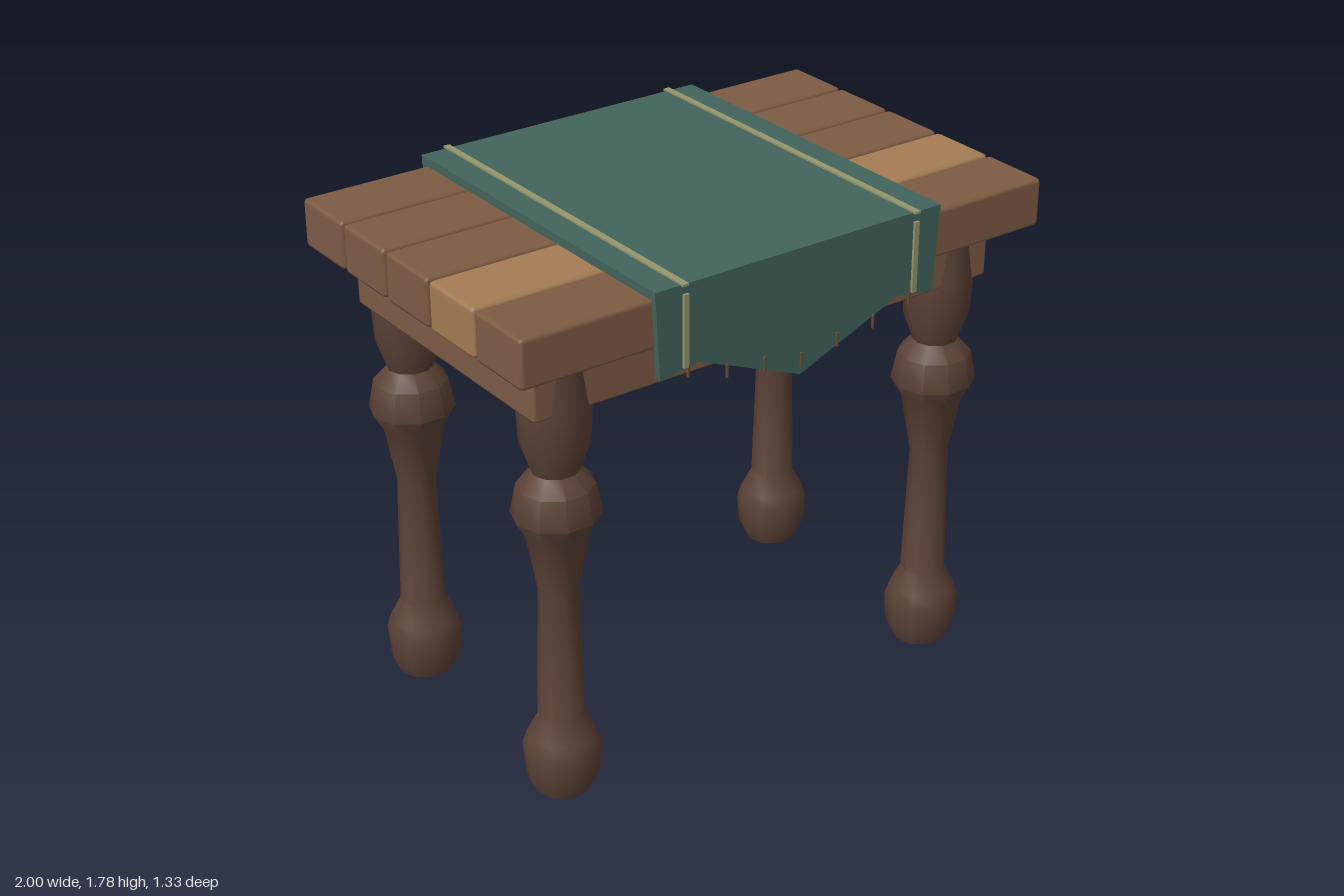
import * as THREE from 'three';
import { RoundedBoxGeometry } from 'three/addons/geometries/RoundedBoxGeometry.js';
import { toCreasedNormals } from 'three/addons/utils/BufferGeometryUtils.js';

const material = (name, color) => new THREE.MeshStandardMaterial({ name, color });

export function createModel() {
  const wood = material('brown wood', 0x7d5c45);
  const paleWood = material('pale wood', 0xa47d54);
  const darkWood = material('dark leg wood', 0x5c4237);
  const cloth = material('green cloth', 0x43655b);
  const trim = material('tan trim', 0x95956e);
  const thread = material('brown tassel', 0x694a35);

  const table = new THREE.Group();
  table.name = 'table';

  function add(name, geometry, mat, x, y, z, parent = table) {
    const mesh = new THREE.Mesh(geometry, mat);
    mesh.name = name;
    mesh.position.set(x, y, z);
    parent.add(mesh);
    return mesh;
  }

  // Five chamfered planks, one of them paler
  for (let i = -2; i <= 2; i++) {
    add('plank', new RoundedBoxGeometry(2, 0.166, 0.245, 1, 0.015),
      i === 1 ? paleWood : wood, 0, 1.662, i * 0.254);
  }

  // Solid apron under the top
  add('apron', new RoundedBoxGeometry(1.776, 0.2, 1.03, 1, 0.012), wood, 0, 1.49, 0);

  // Turned legs; their tops stand slightly proud of the apron
  const profile = [
    [0, 0], [0.098, 0], [0.123, 0.055], [0.13, 0.16], [0.115, 0.205], [0.078, 0.275],
    [0.066, 0.74], [0.105, 0.95], [0.145, 1.015], [0.125, 1.115], [0.078, 1.165],
    [0.112, 1.26], [0.119, 1.4], [0.1, 1.575], [0, 1.575],
  ].map(([r, y]) => new THREE.Vector2(r, y));
  const legGeometry = toCreasedNormals(
    new THREE.LatheGeometry(profile, 10).rotateY(Math.PI / 2).scale(1, 1, 0.965), 0.75);
  for (const x of [-0.76, 0.76]) {
    for (const z of [-0.427, 0.427]) add('leg', legGeometry, darkWood, x, 0, z);
  }

  // Cloth runner across the top
  add('runnerTop', new THREE.BoxGeometry(1.094, 0.03, 1.302), cloth, 0, 1.76, 0);
  for (const x of [-0.445, 0.445]) {
    add('topTrim', new THREE.BoxGeometry(0.022, 0.008, 1.326), trim, x, 1.777, 0);
  }

  // Pointed hanging end
  const outline = new THREE.Shape([
    [-0.547, 1.775], [-0.53, 1.483], [-0.385, 1.505], [0, 1.347],
    [0.385, 1.505], [0.53, 1.483], [0.547, 1.775],
  ].map(([x, y]) => new THREE.Vector2(x, y)));
  const flapGeometry = new THREE.ExtrudeGeometry(outline, { depth: 0.024, bevelEnabled: false });

  for (const turn of [0, Math.PI]) {
    const end = new THREE.Group();
    end.name = 'runnerEnd';
    end.rotation.y = turn;
    table.add(end);
    add('flap', flapGeometry, cloth, 0, 0, 0.627, end);
    for (const side of [-1, 1]) {
      add('flapTrim', new THREE.BoxGeometry(0.018, 0.24, 0.009), trim, side * 0.443, 1.627, 0.66, end);
    }
    // Tassels following the pointed hem
    for (const [x, y] of [[0, 1.4], [0.142, 1.427], [0.285, 1.447], [0.43, 1.492]]) {
      for (const side of x ? [-1, 1] : [1]) {
        add('tassel', new THREE.CylinderGeometry(0.005, 0.005, 0.046, 6), thread, side * x, y, 0.654, end);
      }
    }
  }
  return table;
}
